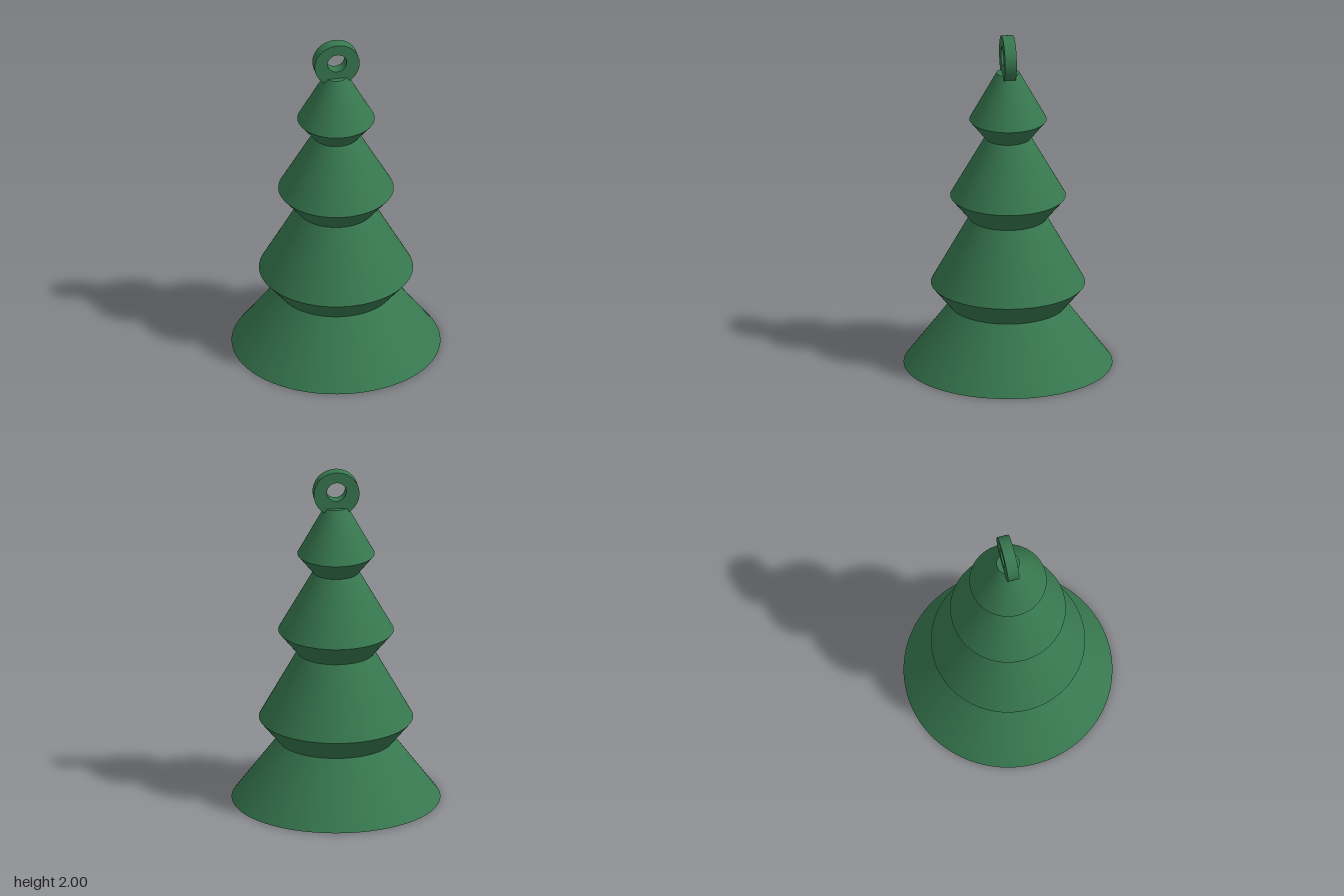
import * as THREE from 'three';

export function createModel() {
  const model = new THREE.Group();
  const green = new THREE.MeshStandardMaterial({ color: 0x37784f });
  green.name = 'pine green';

  const add = (name, geometry, parent = model) => {
    const mesh = new THREE.Mesh(geometry, green);
    mesh.name = name;
    parent.add(mesh);
    return mesh;
  };

  // Tree profile from the base upward: [radius, height]
  const profile = [
    [0.6, 0], [0.333, 0.358], [0.443, 0.492], [0.222, 0.892], [0.332, 1.026],
    [0.132, 1.382], [0.222, 1.494], [0.066, 1.78],
  ];

  // Each band is its own open cone so the rims stay crisp
  const tree = new THREE.Group();
  tree.name = 'tree';
  model.add(tree);
  for (let i = 0; i < profile.length - 1; i++) {
    const [r0, y0] = profile[i];
    const [r1, y1] = profile[i + 1];
    const band = add(i % 2 ? 'tierUnderside' : 'tierSlope',
      new THREE.CylinderGeometry(r1, r0, y1 - y0, 96, 1, true), tree);
    band.position.y = (y0 + y1) / 2;
  }

  // Flat base and flat tip
  add('base', new THREE.CircleGeometry(profile[0][0], 96), tree).rotation.x = Math.PI / 2;
  const tip = add('tip', new THREE.CircleGeometry(0.066, 96), tree);
  tip.rotation.x = -Math.PI / 2;
  tip.position.y = 1.78;

  // Hanging loop: flat-sided ring with a slightly raised hole
  const loop = new THREE.Group();
  loop.name = 'hangingLoop';
  loop.position.y = 1.868;
  model.add(loop);
  const outerRadius = 0.132, holeRadius = 0.056, holeY = 0.013, depth = 0.068;
  const outline = new THREE.Shape().absarc(0, 0, outerRadius, 0, Math.PI * 2);
  outline.holes.push(new THREE.Path().absarc(0, holeY, holeRadius, 0, Math.PI * 2, true));
  for (const side of [1, -1]) {
    const face = add(side > 0 ? 'loopFront' : 'loopBack', new THREE.ShapeGeometry(outline, 64), loop);
    face.position.z = side * depth / 2;
    if (side < 0) face.rotation.y = Math.PI;
  }
  const rim = new THREE.CylinderGeometry(outerRadius, outerRadius, depth, 64, 1, true);
  add('loopRim', rim.rotateX(Math.PI / 2), loop);

  // A lathe run downward faces inward, forming the hole wall
  const wall = new THREE.LatheGeometry([
    new THREE.Vector2(holeRadius, depth / 2), new THREE.Vector2(holeRadius, -depth / 2),
  ], 64);
  add('loopHole', wall.rotateX(Math.PI / 2), loop).position.y = holeY;

  return model;
}
